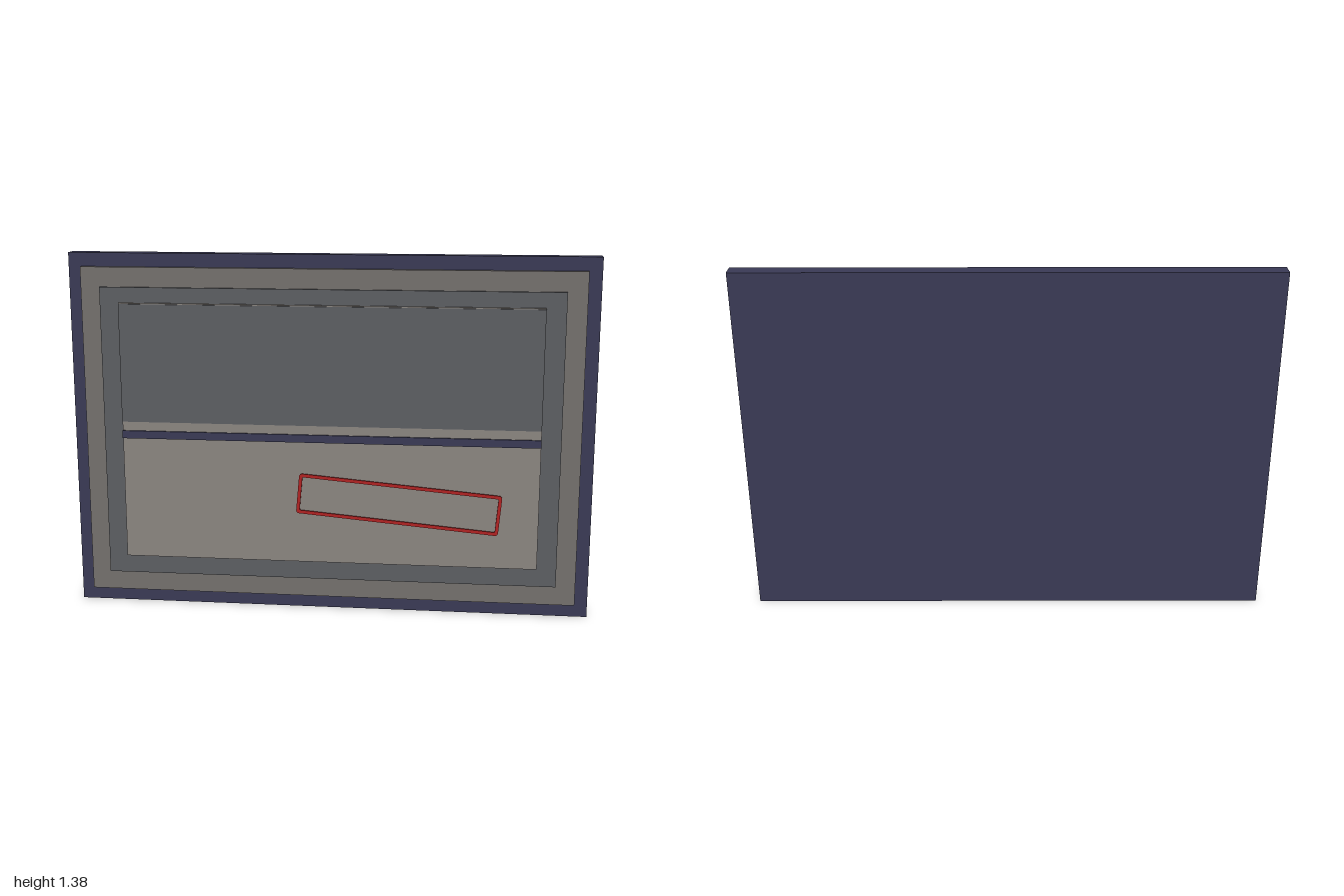
import * as THREE from 'three';

const mat = (color) => new THREE.MeshStandardMaterial({ color });
const navy = mat(0x3a3a55), taupe = mat(0x74706d), slate = mat(0x5c5e62),
  stone = mat(0x8a8580), red = mat(0xb02222);

// Rectangle path with rounded corners, centred on the origin
function roundedRect(path, w, h, r) {
  const x = w / 2 - r, y = h / 2 - r;
  path.absarc(x, y, r, 0, Math.PI / 2);
  path.absarc(-x, y, r, Math.PI / 2, Math.PI);
  path.absarc(-x, -y, r, Math.PI, Math.PI * 1.5);
  path.absarc(x, -y, r, Math.PI * 1.5, Math.PI * 2);
  path.closePath();
  return path;
}

export function createModel() {
  const group = new THREE.Group();

  // Stacked slabs: name, half width, bottom, top, back z, front z, material
  const slabs = [
    ['backBoard', 1, 0, 1.385, -0.06, 0, navy],
    ['outerMat', 0.95, 0.052, 1.333, 0, 0.021, taupe],
    ['innerMat', 0.875, 0.128, 1.258, 0.021, 0.033, slate],
    ['picturePanel', 0.8, 0.2, 1.2, 0.033, 0.044, stone],
    ['upperField', 0.8, 0.742, 1.196, 0.044, 0.049, slate],
    ['horizontalStripe', 0.8, 0.677, 0.707, 0.044, 0.051, navy],
  ];
  for (const [name, halfWidth, y0, y1, z0, z1, material] of slabs) {
    const mesh = new THREE.Mesh(
      new THREE.BoxGeometry(halfWidth * 2, y1 - y0, z1 - z0), material);
    mesh.position.set(0, (y0 + y1) / 2, (z0 + z1) / 2);
    mesh.name = name;
    group.add(mesh);
  }

  // Thin tilted outline floating just in front of the panel
  const outline = roundedRect(new THREE.Shape(), 0.775, 0.157, 0.012);
  outline.holes.push(roundedRect(new THREE.Path(), 0.749, 0.131, 0.004));
  const frame = new THREE.Mesh(
    new THREE.ExtrudeGeometry(outline, { depth: 0.006, bevelEnabled: false, curveSegments: 5 }), red);
  frame.position.set(0.269, 0.446, 0.057);
  frame.rotation.z = THREE.MathUtils.degToRad(-5);
  frame.name = 'tiltedOutline';
  group.add(frame);

  return group;
}
